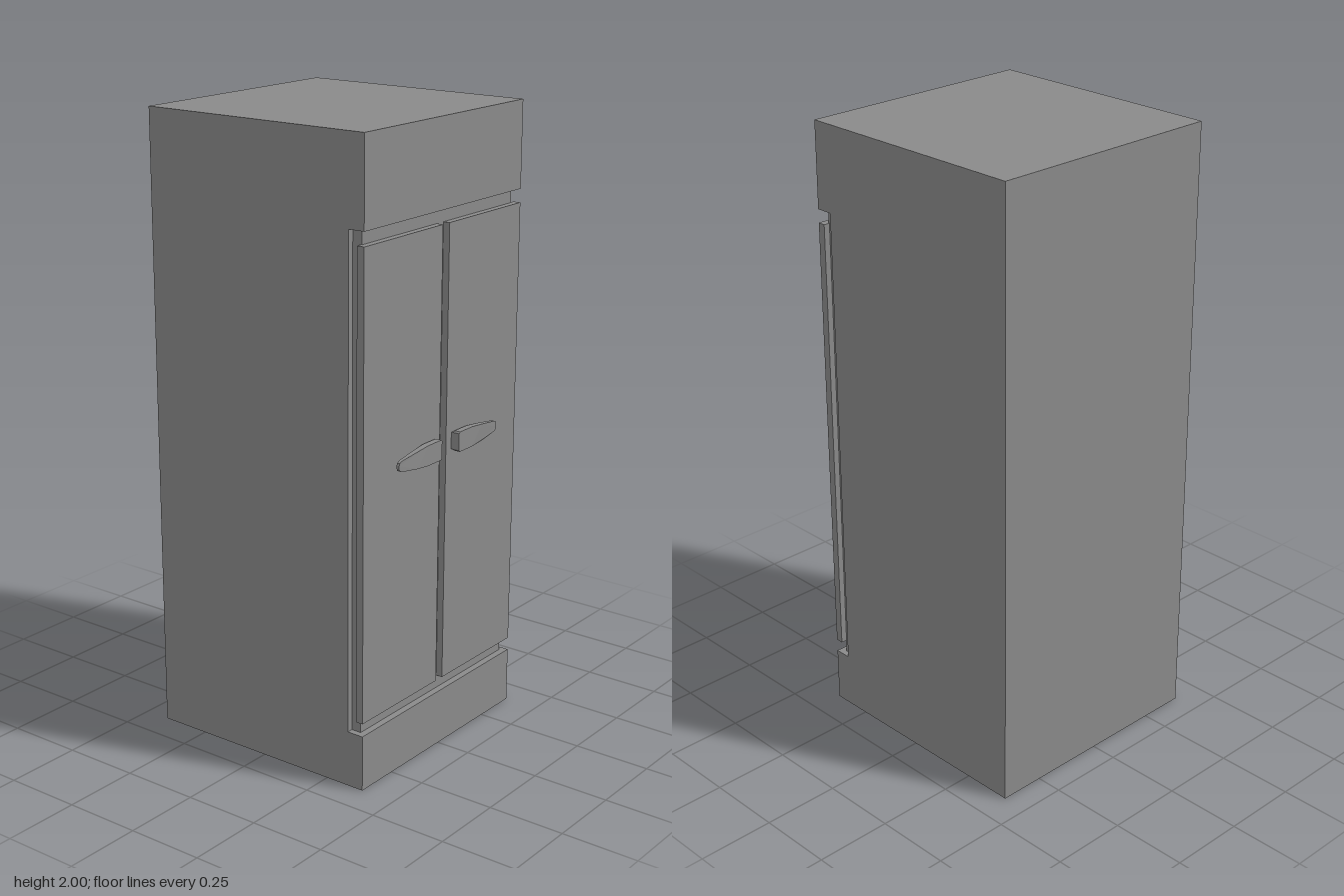
import * as THREE from 'three';

const grey = new THREE.MeshStandardMaterial({ color: 0x8a8a8a });
grey.name = 'grey enamel';

const BACK = -0.415, FRONT = 0.385, RECESS = 0.33;
const RECESS_BOTTOM = 0.18, RECESS_TOP = 1.725;

function add(group, name, geometry) {
  const mesh = new THREE.Mesh(geometry, grey);
  mesh.name = name;
  group.add(mesh);
  return mesh;
}

// Box given by its lower and upper corners
function block(group, name, [x0, y0, z0], [x1, y1, z1]) {
  const mesh = add(group, name, new THREE.BoxGeometry(x1 - x0, y1 - y0, z1 - z0));
  mesh.position.set((x0 + x1) / 2, (y0 + y1) / 2, (z0 + z1) / 2);
}

// Cabinet: side profile with a door recess, extruded across the width
function cabinetGeometry() {
  const profile = new THREE.Shape([
    [-BACK, 0], [-BACK, 2], [-FRONT, 2], [-FRONT, RECESS_TOP], [-RECESS, RECESS_TOP],
    [-RECESS, RECESS_BOTTOM], [-FRONT, RECESS_BOTTOM], [-FRONT, 0],
  ].map(([a, y]) => new THREE.Vector2(a, y)));
  const g = new THREE.ExtrudeGeometry(profile, { depth: 0.8, bevelEnabled: false });
  g.translate(0, 0, -0.4);
  g.rotateY(Math.PI / 2);
  return g;
}

// Handle lever: rounded tapering outline, thinning towards its tip
function leverGeometry(side) {
  const half = [
    [0.045, 0.027], [0.05, 0.032], [0.115, 0.032], [0.17, 0.027],
    [0.245, 0.017], [0.255, 0.012], [0.258, 0.005],
  ];
  const outline = [...half, ...half.map(([x, y]) => [x, -y]).reverse()];
  const shape = new THREE.Shape(outline.map(([x, y]) => new THREE.Vector2(side * x, y)));
  const g = new THREE.ExtrudeGeometry(shape, { depth: 1, bevelEnabled: false });
  const p = g.attributes.position;
  for (let i = 0; i < p.count; i++) {
    const x = Math.abs(p.getX(i));
    const back = THREE.MathUtils.mapLinear(Math.max(x, 0.115), 0.115, 0.258, 0.393, 0.4);
    const front = THREE.MathUtils.mapLinear(Math.max(x, 0.17), 0.17, 0.258, 0.414, 0.409);
    p.setZ(i, THREE.MathUtils.lerp(back, front, p.getZ(i)));
  }
  g.computeVertexNormals();
  return g;
}

export function createModel() {
  const model = new THREE.Group();
  model.name = 'cabinet';
  add(model, 'cabinetBody', cabinetGeometry());

  // Door seal, set in slightly from the sides
  block(model, 'doorSeal', [-0.38, RECESS_BOTTOM, RECESS], [0.38, RECESS_TOP, 0.363]);

  // Mirrored doors with their handles
  for (const side of [1, -1]) {
    const door = new THREE.Group();
    door.name = side > 0 ? 'leftDoor' : 'rightDoor';
    const span = (a, b) => (side > 0 ? [a, b] : [-b, -a]);

    const [d0, d1] = span(0.017, 0.4);
    block(door, 'doorPanel', [d0, 0.222, 0.36], [d1, 1.682, FRONT]);

    const [h0, h1] = span(0.045, 0.115);
    block(door, 'handleMount', [h0, 0.975, 0.38], [h1, 1.029, 0.396]);
    add(door, 'handleLever', leverGeometry(side)).position.y = 1.002;
    model.add(door);
  }
  return model;
}
